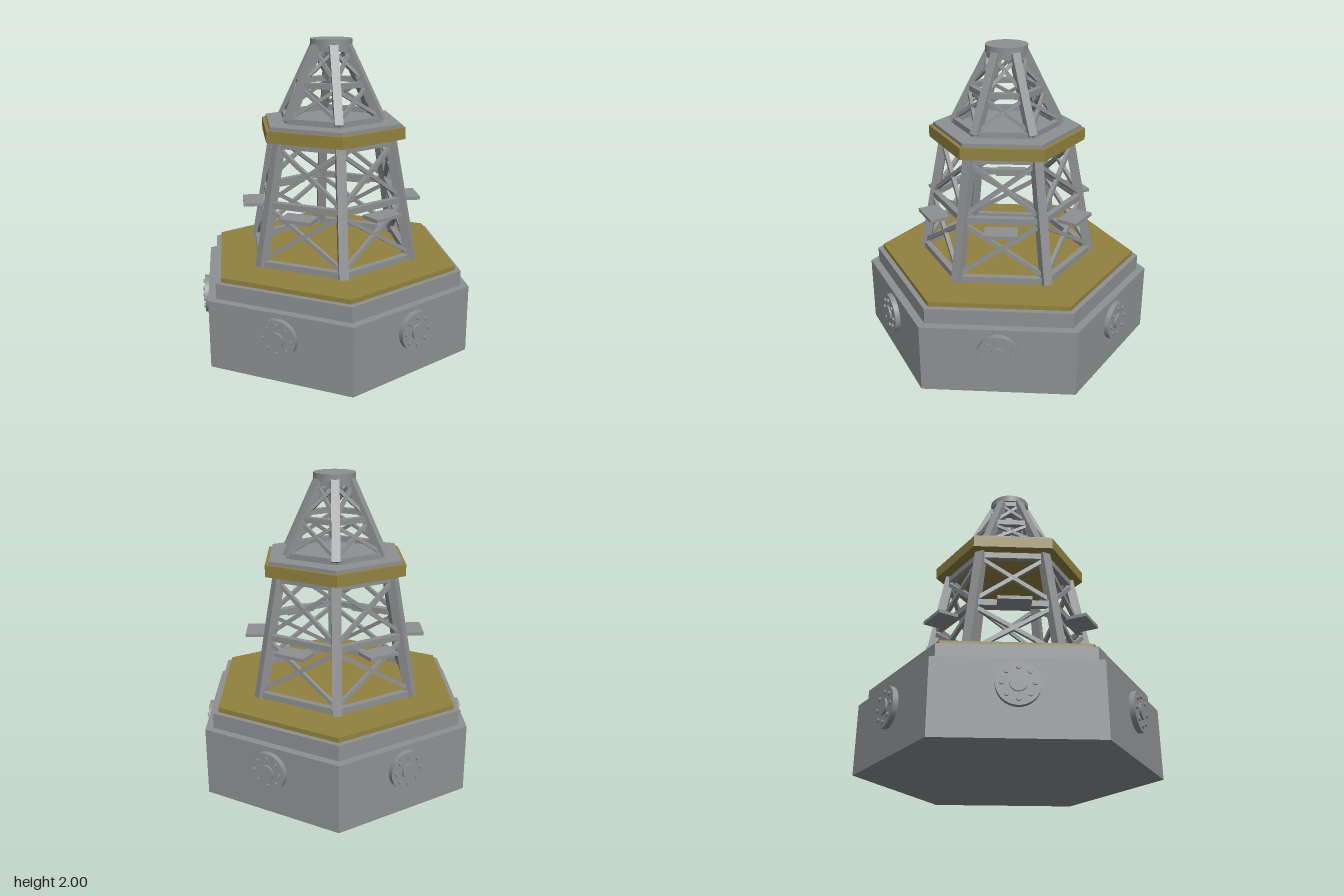
import * as THREE from 'three';

const steel = new THREE.MeshStandardMaterial({ color: 0x8e9092 });
steel.name = 'steel grey';
const ochre = new THREE.MeshStandardMaterial({ color: 0x92823f });
ochre.name = 'ochre deck';

const SIDES = 6;
const STEP = Math.PI / 3;

function add(parent, name, geometry, material = steel) {
  const mesh = new THREE.Mesh(geometry, material);
  mesh.name = name;
  parent.add(mesh);
  return mesh;
}

// Hexagonal slab with corners on the z axis
function hexSlab(parent, name, radius, y0, y1, material) {
  const geometry = new THREE.CylinderGeometry(radius, radius, y1 - y0, SIDES).toNonIndexed();
  geometry.computeVertexNormals();
  add(parent, name, geometry, material).position.y = (y0 + y1) / 2;
}

// Square bar between two points, with one face turned towards `out`
function beam(parent, name, a, b, width, depth, out) {
  const dir = b.clone().sub(a);
  const mesh = add(parent, name, new THREE.BoxGeometry(width, dir.length(), depth));
  const y = dir.normalize();
  const x = new THREE.Vector3().crossVectors(y, out).normalize();
  const z = new THREE.Vector3().crossVectors(x, y);
  mesh.quaternion.setFromRotationMatrix(new THREE.Matrix4().makeBasis(x, y, z));
  mesh.position.copy(a).add(b).multiplyScalar(0.5);
}

// Tapering six-legged lattice with ring girders and crossed braces
function lattice(name, { y0, y1, r0, r1, leg, brace, girder, rings, panels }) {
  const tower = new THREE.Group();
  tower.name = name;
  const corner = (i, y) => {
    const r = THREE.MathUtils.mapLinear(y, y0, y1, r0, r1);
    return new THREE.Vector3(r * Math.sin(i * STEP), y, r * Math.cos(i * STEP));
  };
  const outward = (i) => new THREE.Vector3(Math.sin(i * STEP), 0, Math.cos(i * STEP));
  for (let i = 0; i < SIDES; i++) {
    beam(tower, 'leg', corner(i, y0), corner(i, y1), leg, leg, outward(i));
    const face = outward(i + 0.5);
    for (const y of rings) beam(tower, 'girder', corner(i, y), corner(i + 1, y), girder, girder, face);
    for (const [low, high] of panels) {
      beam(tower, 'brace', corner(i, low), corner(i + 1, high), brace, brace, face);
      beam(tower, 'brace', corner(i + 1, low), corner(i, high), brace, brace, face);
    }
  }
  return tower;
}

// Bolted round flange facing +z
function flange() {
  const group = new THREE.Group();
  group.name = 'flange';
  const disc = (name, r, z0, z1, sides, x = 0, y = 0) => {
    const geometry = new THREE.CylinderGeometry(r, r, z1 - z0, sides).rotateX(Math.PI / 2);
    add(group, name, geometry).position.set(x, y, (z0 + z1) / 2);
  };
  disc('flangePlate', 0.125, -0.01, 0.033, 32);
  disc('flangeHub', 0.05, 0.03, 0.046, 24);
  for (let i = 0; i < 8; i++) {
    const a = (i * Math.PI) / 4;
    disc('bolt', 0.013, 0.03, 0.044, 8, 0.09 * Math.cos(a), 0.09 * Math.sin(a));
  }
  return group;
}

export function createModel() {
  const model = new THREE.Group();
  model.name = 'latticeTower';

  // Stepped base
  hexSlab(model, 'base', 0.96, 0, 0.45, steel);
  hexSlab(model, 'baseStep', 0.903, 0.45, 0.55, steel);
  hexSlab(model, 'baseDeck', 0.865, 0.55, 0.58, ochre);

  // Lower tower and its deck
  model.add(lattice('lowerTower', {
    y0: 0.58, y1: 1.39, r0: 0.565, r1: 0.408, leg: 0.06, brace: 0.026, girder: 0.04,
    rings: [0.605, 0.985, 1.36], panels: [[0.63, 0.96], [1.01, 1.34]],
  }));
  hexSlab(model, 'upperDeck', 0.508, 1.385, 1.46, ochre);
  hexSlab(model, 'upperDeckPlate', 0.48, 1.46, 1.482, steel);

  // Upper tower and its cap
  model.add(lattice('upperTower', {
    y0: 1.495, y1: 1.965, r0: 0.345, r1: 0.105, leg: 0.054, brace: 0.022, girder: 0.036,
    rings: [1.503, 1.72, 1.94], panels: [[1.52, 1.7], [1.745, 1.925]],
  }));
  add(model, 'cap', new THREE.CylinderGeometry(0.135, 0.135, 0.045, 32)).position.y = 1.9775;

  // Flanges and small platforms on every side
  for (let i = 0; i < SIDES; i++) {
    const side = new THREE.Group();
    side.name = 'sideFittings';
    side.rotation.y = (i + 0.5) * STEP;
    const port = flange();
    port.position.set(0, 0.295, 0.96 * Math.cos(STEP / 2));
    side.add(port);
    add(side, 'platform', new THREE.BoxGeometry(0.21, 0.022, 0.135)).position.set(0, 0.945, 0.522);
    model.add(side);
  }
  return model;
}
